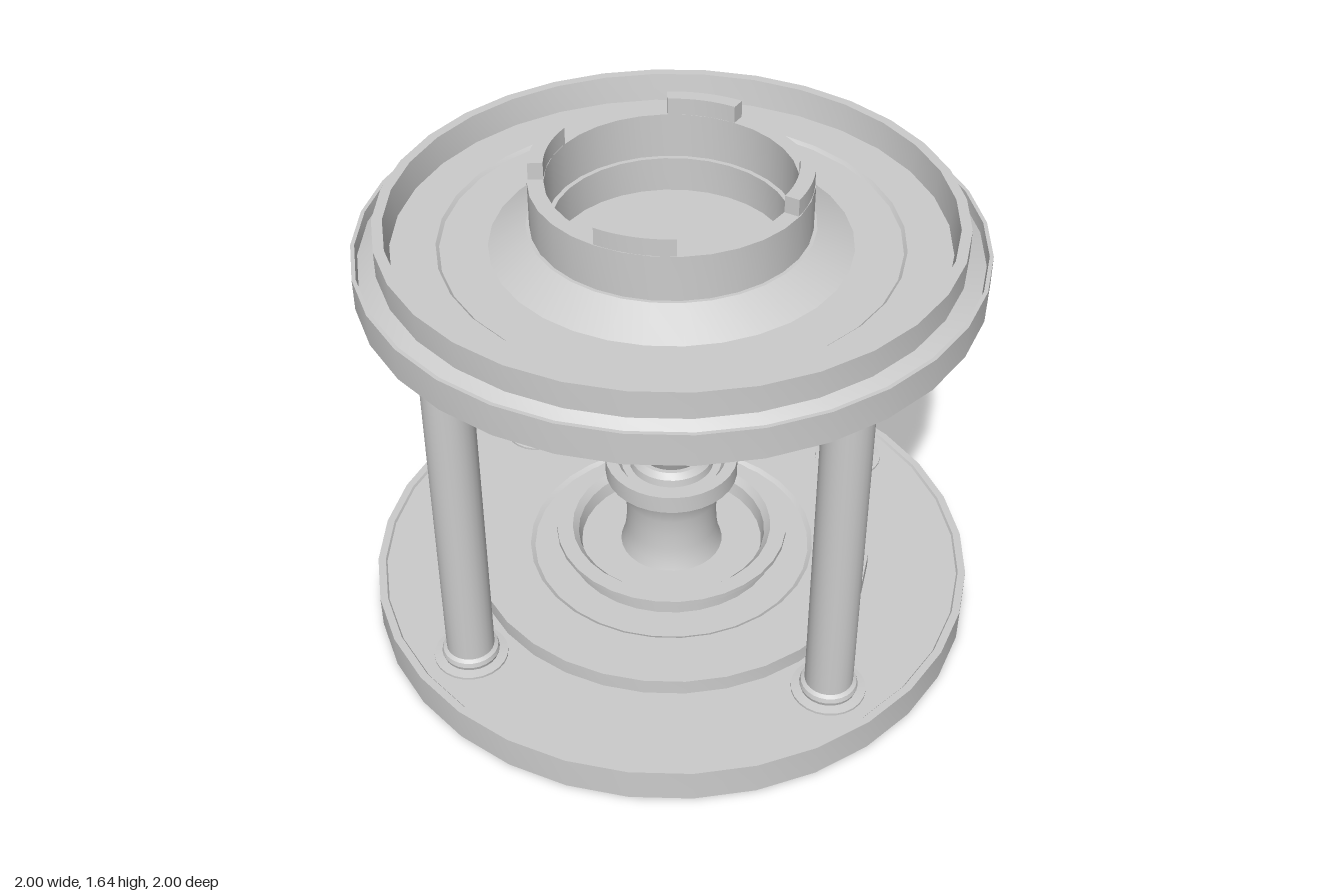
import * as THREE from 'three';
import { toCreasedNormals } from 'three/addons/utils/BufferGeometryUtils.js';

const material = new THREE.MeshStandardMaterial({ color: 0xcccccc });

// Turned part from [radius, height] pairs, running from the underside round to the top
function turned(name, profile, sides = 32) {
  const points = profile.map(([r, y]) => new THREE.Vector2(r, y));
  const geometry = toCreasedNormals(new THREE.LatheGeometry(points, sides), 0.45);
  const mesh = new THREE.Mesh(geometry, material);
  mesh.name = name;
  return mesh;
}

// Curved tab standing on the collar
function collarTab(inner, outer, middle, width, y, height) {
  const shape = new THREE.Shape();
  shape.absarc(0, 0, outer, middle - width / 2, middle + width / 2, false);
  shape.absarc(0, 0, inner, middle + width / 2, middle - width / 2, true);
  const geometry = new THREE.ExtrudeGeometry(shape, { depth: height, bevelEnabled: false, curveSegments: 4 });
  geometry.rotateX(-Math.PI / 2);
  geometry.translate(0, y, 0);
  const mesh = new THREE.Mesh(toCreasedNormals(geometry, 0.45), material);
  mesh.name = 'collarTab';
  return mesh;
}

export function createModel() {
  const model = new THREE.Group();
  model.name = 'pillaredStand';

  // Round base with a fine raised lip and a stepped inner platform
  model.add(turned('base', [
    [0, 0], [1, 0], [1, 0.113], [0.975, 0.113], [0.97, 0.105], [0.67, 0.105],
    [0.67, 0.158], [0.48, 0.158], [0.465, 0.148], [0, 0.148],
  ]));

  // Shallow basin with an overhanging rim
  model.add(turned('basin', [
    [0, 0.14], [0.355, 0.14], [0.355, 0.208], [0.388, 0.212], [0.388, 0.228],
    [0.335, 0.228], [0.315, 0.205], [0.305, 0.16], [0, 0.16],
  ]));

  // Waisted pedestal spreading into a saucer
  model.add(turned('pedestal', [
    [0, 0.15], [0.175, 0.15], [0.16, 0.19], [0.153, 0.24], [0.15, 0.3], [0.153, 0.36],
    [0.163, 0.42], [0.172, 0.435], [0.218, 0.46], [0.218, 0.523], [0.18, 0.523],
    [0.165, 0.5], [0, 0.5],
  ]));

  // Small flared cup on the saucer
  model.add(turned('cup', [
    [0, 0.49], [0.14, 0.49], [0.135, 0.525], [0.12, 0.545], [0.105, 0.545],
    [0.142, 0.625], [0.133, 0.625], [0.112, 0.575], [0, 0.575],
  ]));

  // Four pillars with rounded feet
  for (let i = 0; i < 4; i++) {
    const pillar = turned('pillar', [
      [0, 0.1], [0.118, 0.1], [0.118, 0.113], [0.088, 0.117], [0.092, 0.13],
      [0.088, 0.145], [0.076, 0.152], [0.076, 1.3], [0, 1.3],
    ], 24);
    const angle = i * Math.PI / 2;
    pillar.position.set(0.81 * Math.sin(angle), 0, 0.81 * Math.cos(angle));
    model.add(pillar);
  }

  // Dished upper plate: edge channel, raised rim, floor and cone up to the collar
  model.add(turned('upperPlate', [
    [0, 1.282], [0.957, 1.282], [0.957, 1.385], [0.945, 1.385], [0.94, 1.35],
    [0.887, 1.383], [0.887, 1.47], [0.855, 1.47], [0.842, 1.38], [0.705, 1.38],
    [0.695, 1.37], [0.55, 1.37], [0.435, 1.435], [0.36, 1.435], [0.36, 1.31], [0, 1.31],
  ]));

  // Open collar
  model.add(turned('collar', [
    [0.375, 1.3], [0.435, 1.3], [0.435, 1.425], [0.424, 1.435], [0.424, 1.582],
    [0.375, 1.582], [0.375, 1.32], [0, 1.32],
  ]));
  for (let i = 0; i < 4; i++) {
    const middle = THREE.MathUtils.degToRad(38 + i * 90);
    model.add(collarTab(0.375, 0.421, middle, THREE.MathUtils.degToRad(33), 1.57, 0.067));
  }

  return model;
}
